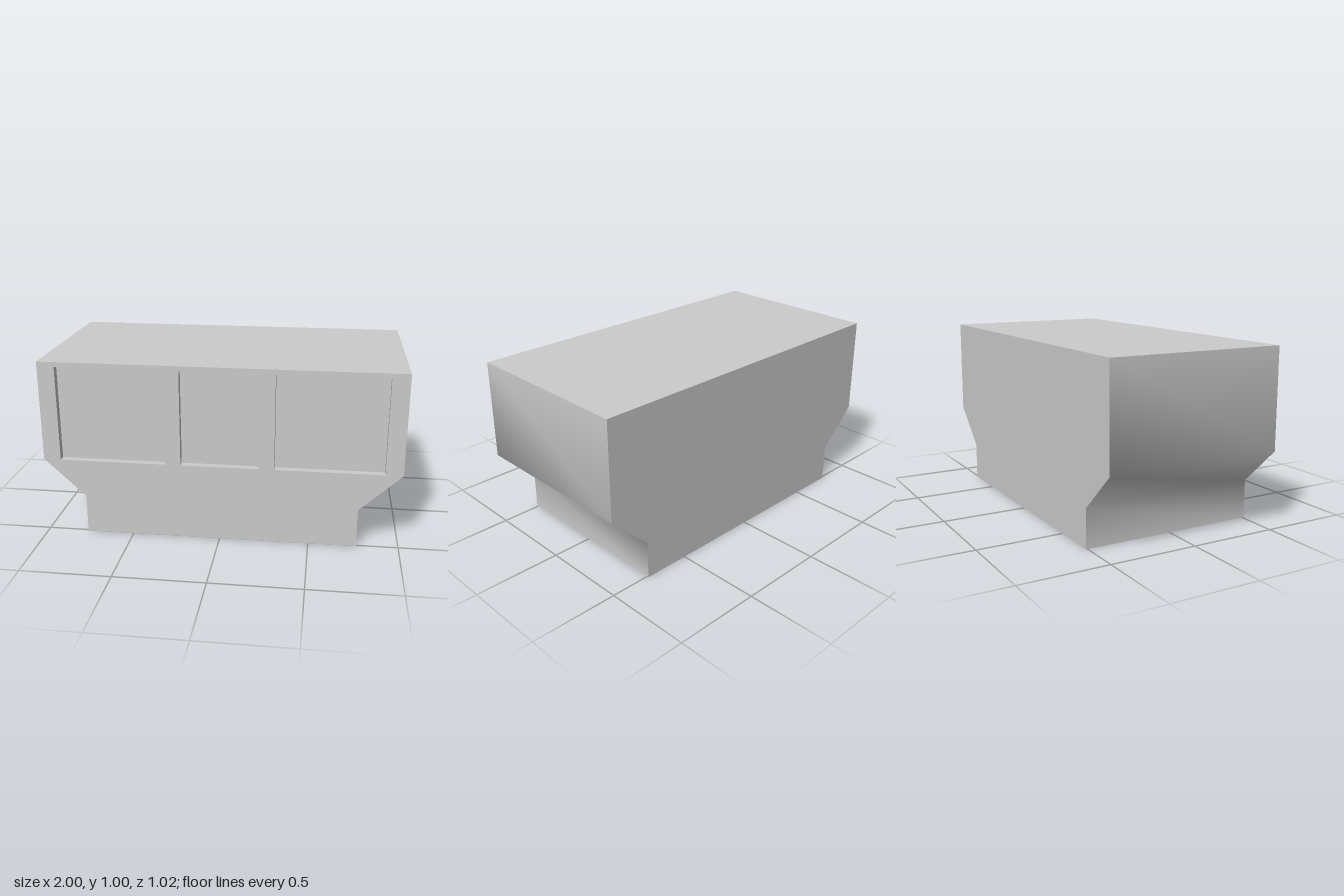
import * as THREE from 'three';
import { mergeGeometries, toCreasedNormals } from 'three/addons/utils/BufferGeometryUtils.js';

const FRONT = 0.51, BACK = -0.51, RECESS = 0.04;

// Wall strip along a closed outline; counter-clockwise outlines face outward, clockwise ones inward
function wall(points, z0, z1) {
  const pos = [];
  points.forEach((a, i) => {
    const b = points[(i + 1) % points.length];
    pos.push(a.x, a.y, z0, b.x, b.y, z0, b.x, b.y, z1);
    pos.push(a.x, a.y, z0, b.x, b.y, z1, a.x, a.y, z1);
  });
  const g = new THREE.BufferGeometry();
  g.setAttribute('position', new THREE.Float32BufferAttribute(pos, 3));
  g.computeVertexNormals();
  return g;
}

// Flat face of a shape, without uvs so that it merges with walls
function face(shape) {
  const g = new THREE.ShapeGeometry(shape).toNonIndexed();
  g.deleteAttribute('uv');
  return g;
}

// Clockwise rectangle
function rectangle(x0, x1, y0, y1) {
  return [[x0, y0], [x0, y1], [x1, y1], [x1, y0]].map(p => new THREE.Vector2(...p));
}

export function createModel() {
  const group = new THREE.Group();
  const material = new THREE.MeshStandardMaterial({ color: 0xcccccc });
  const add = (name, parts) => {
    const mesh = new THREE.Mesh(toCreasedNormals(mergeGeometries(parts), Math.PI / 3), material);
    mesh.name = name;
    group.add(mesh);
  };

  // Profile: narrow base flaring out to a wide upper block
  const half = [[0.768, 0], [0.768, 0.22], [1, 0.437], [1, 1.005]];
  const outline = [...half, ...half.map(([x, y]) => [-x, y]).reverse()]
    .map(p => new THREE.Vector2(...p));

  // Three openings in the front
  const openings = {
    rightRecess: rectangle(-0.903, -0.303, 0.437, 0.977),
    middleRecess: rectangle(-0.217, 0.217, 0.437, 0.977),
    leftRecess: rectangle(0.303, 0.903, 0.437, 0.977),
  };

  // Body shell: sides, pierced front and plain back
  const frontShape = new THREE.Shape(outline);
  frontShape.holes = Object.values(openings).map(pts => new THREE.Path(pts));
  add('body', [
    wall(outline, BACK, FRONT),
    face(frontShape).translate(0, 0, FRONT),
    face(new THREE.Shape(outline)).rotateY(Math.PI).translate(0, 0, BACK),
  ]);

  // Shallow recessed panels behind the openings
  for (const [name, pts] of Object.entries(openings)) {
    add(name, [
      wall(pts, FRONT - RECESS, FRONT),
      face(new THREE.Shape(pts)).translate(0, 0, FRONT - RECESS),
    ]);
  }
  return group;
}
